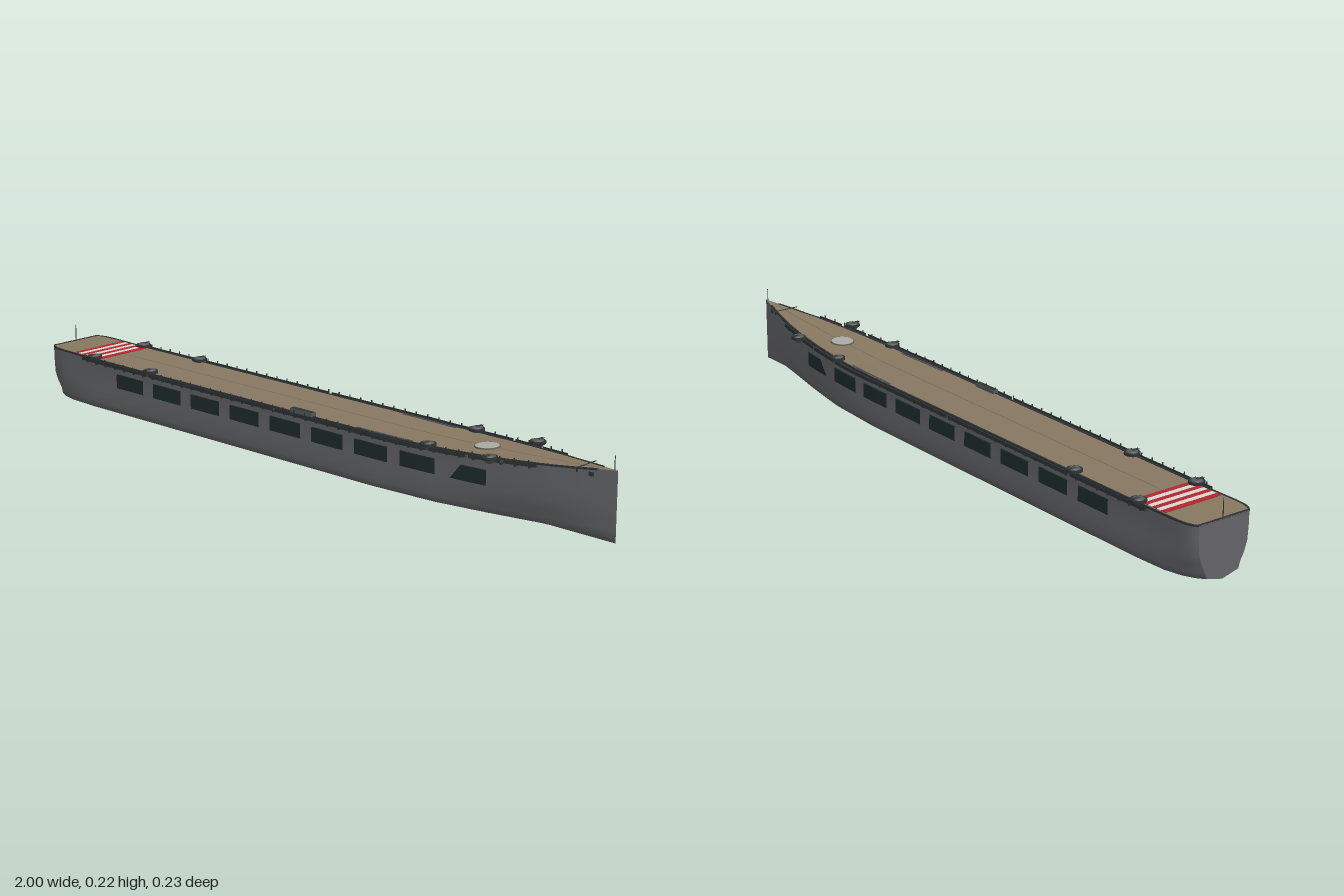
import * as THREE from 'three';
import { mergeGeometries } from 'three/addons/utils/BufferGeometryUtils.js';

const paint = (name, color, side = THREE.FrontSide) => {
  const m = new THREE.MeshStandardMaterial({ color, side });
  m.name = name;
  return m;
};

// Linear lookup in a table of [x, value] pairs
const lookup = (table, x) => {
  for (let i = 1; i < table.length; i++) {
    const [x0, v0] = table[i - 1], [x1, v1] = table[i];
    if (x <= x1) return v0 + (v1 - v0) * (x - x0) / (x1 - x0);
  }
  return table[table.length - 1][1];
};

// Hull lines: half width at deck and chine, and deck height
const deckLine = [[-1, .08], [-.99, .088], [-.97, .095], [-.94, .098], [.3, .098], [.45, .093],
  [.6, .081], [.7, .069], [.8, .052], [.9, .028], [1, 0]];
const chineLine = [[-1, .052], [-.98, .068], [-.95, .083], [-.9, .095], [-.8, .1], [.3, .1],
  [.5, .088], [.65, .063], [.8, .033], [.9, .015], [1, 0]];
const sheerLine = [[-1, .157], [-.8, .154], [.4, .154], [.55, .158], [.7, .164], [.85, .172], [1, .183]];
const deckW = x => lookup(deckLine, x);
const sheer = x => lookup(sheerLine, x);

// Half section from deck edge to keel as [z, y]
const section = x => {
  const t = deckW(x), c = lookup(chineLine, x), mid = (t + c) / 2;
  return [[t, sheer(x)], [t * .995, .12], [t * .8 + mid * .2, .08], [mid * 1.03, .052], [c * .7 + mid * .3, .03], [c, .013], [0, 0]];
};
const sideZ = (x, y) => lookup(section(x).map(([z, h]) => [h, z]).reverse(), y);

// Skin a grid of rows of 3D points
const loft = (rows, flat = false) => {
  const n = rows[0].length, index = [];
  for (let i = 0; i < rows.length - 1; i++) {
    for (let j = 0; j < n - 1; j++) {
      const a = i * n + j, c = a + n;
      index.push(a, a + 1, c, a + 1, c + 1, c);
    }
  }
  let g = new THREE.BufferGeometry();
  g.setAttribute('position', new THREE.Float32BufferAttribute(rows.flat(2), 3));
  g.setIndex(index);
  if (flat) g = g.toNonIndexed();
  g.computeVertexNormals();
  return g;
};
const mirrorRows = rows => rows.map(r => r.map(([x, y, z]) => [x, y, -z]).reverse());
const range = (a, b, n) => Array.from({ length: n + 1 }, (_, i) => a + (b - a) * i / n);

export function createModel() {
  const model = new THREE.Group();
  const hullGrey = paint('hull grey', 0x636468, THREE.DoubleSide);
  const deckTan = paint('deck tan', 0x86775f, THREE.DoubleSide);
  const openingDark = paint('opening dark green', 0x1e2c2c, THREE.DoubleSide);
  const fittingDark = paint('fitting dark grey', 0x2e3335, THREE.DoubleSide);
  const tubGrey = paint('tub grey', 0x555a5a);
  const red = paint('marking red', 0xb3262c);
  const white = paint('marking white', 0xd8d5d0);
  const silver = paint('disc silver', 0xa9aaa6);
  const lineGrey = paint('line grey', 0x6b6459);

  const add = (name, geometry, material, x = 0, y = 0, z = 0, parent = model) => {
    const m = new THREE.Mesh(geometry, material);
    m.name = name;
    m.position.set(x, y, z);
    parent.add(m);
    return m;
  };
  const box = (w, h, d, x = 0, y = 0, z = 0) => new THREE.BoxGeometry(w, h, d).translate(x, y, z);
  const pair = (name, rows, material) => {
    add(name + 'Left', loft(rows, true), material);
    add(name + 'Right', loft(mirrorRows(rows), true), material);
  };

  // Hull skin and transom
  const stations = [-1, -.99, -.98, -.97, -.95, -.94, -.9, -.85, -.8, ...range(-.7, 1, 34)];
  add('hull', loft(stations.map(x => {
    const half = section(x);
    return [...half.map(([z, y]) => [x, y, z]), ...half.slice(0, -1).reverse().map(([z, y]) => [x, y, -z])];
  })), hullGrey);
  add('transom', loft(section(-1).map(([z, y]) => [[-1, y, z], [-1, y, -z]])), hullGrey);

  // Flight deck and its dark rim
  add('deck', loft(stations.map(x => [[x, sheer(x), -deckW(x)], [x, sheer(x), deckW(x)]])), deckTan);
  const rail = (xs, inner, outer, low, high) => xs.map(x => {
    const w = deckW(x), y = sheer(x), a = Math.max(w + inner, 0), b = w + outer;
    return [[x, y + low, a], [x, y + high, a], [x, y + high, b], [x, y + low, b], [x, y + low, a]];
  });
  pair('deckRim', rail(stations.filter(x => x < .995), -.004, .001, -.003, .0015), fittingDark);
  add('sternRim', box(.005, .0045, .16), fittingDark, -.9975, sheer(-1) - .0007, 0);

  // Side galleries, stepped towards the bow
  const galleries = [[-.84, -.56, .011], [-.55, -.06, .013], [-.05, .3, .013], [.3, .48, .015],
    [.49, .6, .014], [.61, .7, .013], [.71, .8, .01]];
  galleries.forEach(([a, b, out], i) => {
    pair('gallery' + i, rail(range(a, b, 6), -.001, out, -.008, -.003), fittingDark);
    pair('galleryLip' + i, rail(range(a, b, 6), out - .002, out, -.004, .002), fittingDark);
  });
  pair('deckEdgeStep', rail(range(.23, .42, 6), -.012, -.008, 0, .002), tubGrey);

  // Railing posts and brackets below the galleries
  const posts = [];
  for (const s of [1, -1]) {
    for (const x of range(-.82, .78, 40)) {
      posts.push(box(.0025, .014, .0025, x, sheer(x) + .002, s * (deckW(x) + .01)));
      posts.push(box(.004, .006, .01, x, sheer(x) - .01, s * (deckW(x) + .004)));
    }
  }
  add('railingPosts', mergeGeometries(posts), fittingDark);

  // Hangar openings along both sides
  const openings = [...range(-.697, .388, 7).map(x => [x, x, x + .113]), [.58, .548, .656]];
  openings.forEach(([topStart, bottomStart, end], i) => {
    const rows = range(0, 1, 4).map(t => {
      const xt = topStart + (end - topStart) * t, xb = bottomStart + (end - bottomStart) * t;
      const zt = sideZ(xt, .127), zb = sideZ(xb, .087);
      return [[xt, .127, zt - .002], [xt, .127, zt + .004], [xb, .087, zb + .004], [xb, .087, zb - .002]];
    });
    pair('opening' + i, rows, openingDark);
  });

  // Gun tubs with twin barrels
  for (const s of [1, -1]) {
    for (const x of [-.8, -.56, .48, .68]) {
      const tub = new THREE.Group();
      tub.name = 'gunTub';
      tub.position.set(x, sheer(x), s * .094);
      model.add(tub);
      add('tubWall', new THREE.CylinderGeometry(.021, .021, .007, 16), fittingDark, 0, .006, 0, tub);
      add('tubSupport', new THREE.CylinderGeometry(.018, .009, .01, 12), tubGrey, 0, -.003, 0, tub);
      add('gunMount', new THREE.CylinderGeometry(.013, .016, .003, 12), tubGrey, 0, .011, 0, tub);
      for (const dx of [-.003, .003]) add('gunBarrel', box(.002, .002, .022), fittingDark, dx, .0125, s * .011, tub);
    }
  }

  // Low deckhouse at the edge
  add('deckhouse', box(.08, .011, .016), tubGrey, .04, .159, .094);
  add('deckhouseRoof', box(.076, .001, .012), fittingDark, .04, .165, .094);

  // Landing stripes near the stern
  for (let i = 0; i < 7; i++) {
    const x = -.884 + i * .0157;
    add('landingStripe', box(.0157, .002, .178), i % 2 ? white : red, x, sheer(x) + .001, 0);
  }

  // Centre line and round forward marking
  add('centreLine', loft(range(-.77, .95, 24).map(x => [[x, sheer(x) + .001, -.0015], [x, sheer(x) + .001, .0015]])), lineGrey);
  const disc = new THREE.Group();
  disc.name = 'deckDisc';
  disc.position.set(.595, sheer(.595) + .0015, 0);
  disc.rotation.z = .04;
  model.add(disc);
  add('discRing', new THREE.CylinderGeometry(.034, .034, .003, 32), lineGrey, 0, 0, 0, disc);
  add('discFace', new THREE.CylinderGeometry(.031, .031, .004, 32), silver, 0, 0, 0, disc);

  // Flagstaffs, bow booms and anchors
  add('bowStaff', new THREE.CylinderGeometry(.001, .0015, .037, 6), fittingDark, .99, .2, 0);
  add('sternStaff', new THREE.CylinderGeometry(.001, .0015, .05, 6), fittingDark, -.994, .181, 0);
  add('bowBoom', box(.002, .002, .09), fittingDark, .9, sheer(.9) + .001, 0);
  for (const s of [1, -1]) {
    add('boomEnd', box(.004, .012, .003), fittingDark, .9, sheer(.9) - .004, s * .03);
    add('anchor', box(.012, .01, .005), fittingDark, .935, .165, s * (sideZ(.935, .165) + .001));
  }
  return model;
}
